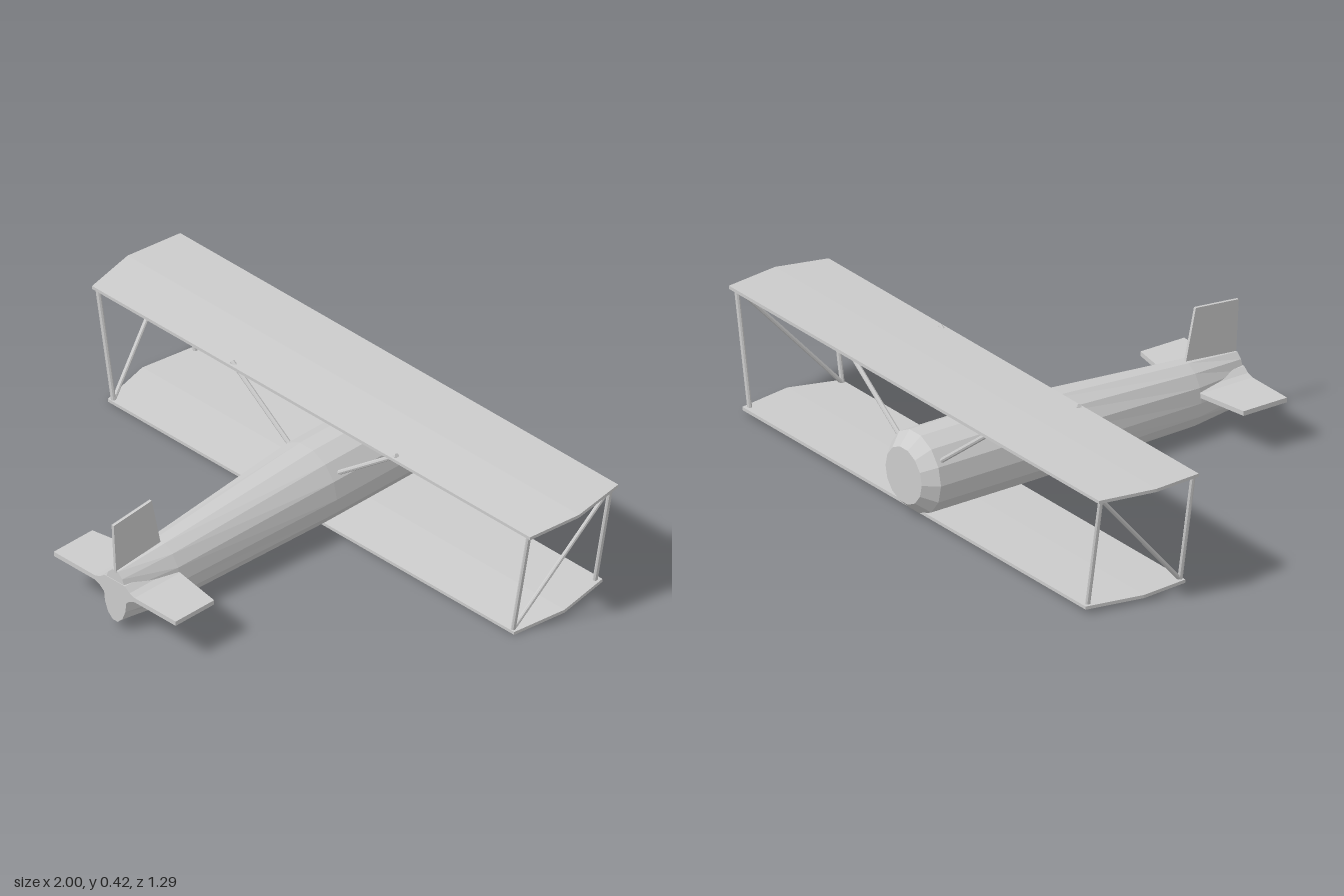
import * as THREE from 'three';

const material = new THREE.MeshStandardMaterial({ color: 0xcccccc, flatShading: true });

// Skin a row of equal-sized rings (counter-clockwise about the direction of travel), with end caps
function loft(name, rings) {
  const pos = [];
  const tri = (...pts) => pts.forEach((p) => pos.push(...p));
  const n = rings[0].length;
  for (let i = 0; i < rings.length - 1; i++) {
    for (let j = 0; j < n; j++) {
      const k = (j + 1) % n;
      const a = rings[i][j], b = rings[i][k], c = rings[i + 1][k], d = rings[i + 1][j];
      tri(a, b, c);
      tri(a, c, d);
    }
  }
  const first = rings[0], last = rings[rings.length - 1];
  for (let j = 1; j < n - 1; j++) {
    tri(first[0], first[j + 1], first[j]);
    tri(last[0], last[j], last[j + 1]);
  }
  const geo = new THREE.BufferGeometry();
  geo.setAttribute('position', new THREE.Float32BufferAttribute(pos, 3));
  geo.computeVertexNormals();
  const mesh = new THREE.Mesh(geo, material);
  mesh.name = name;
  return mesh;
}

// Thin rod between two points
function rod(name, from, to, radius = 0.008) {
  const a = new THREE.Vector3(...from), b = new THREE.Vector3(...to);
  const dir = b.clone().sub(a);
  const mesh = new THREE.Mesh(new THREE.CylinderGeometry(radius, radius, dir.length(), 8), material);
  mesh.position.copy(a).add(b).multiplyScalar(0.5);
  mesh.quaternion.setFromUnitVectors(new THREE.Vector3(0, 1, 0), dir.normalize());
  mesh.name = name;
  return mesh;
}

// Elliptical ring of the fuselage
function ellipse(z, halfWidth, bottom, top, sides = 14) {
  return Array.from({ length: sides }, (_, i) => {
    const t = (i / sides) * Math.PI * 2;
    return [halfWidth * Math.cos(t), (top + bottom) / 2 + ((top - bottom) / 2) * Math.sin(t) / Math.cos(Math.PI / 14), z];
  });
}

// Cambered wing: slabs of [z, half span, top height]
function wing(name, stations, thickness = 0.011) {
  return loft(name, stations.map(([z, w, y]) => [
    [-w, y - thickness, z], [w, y - thickness, z], [w, y, z], [-w, y, z],
  ]));
}

export function createModel() {
  const model = new THREE.Group();
  model.name = 'biplane';

  // Body, nose towards -z
  model.add(loft('fuselage', [
    ellipse(-0.645, 0.095, 0.052, 0.237),
    ellipse(-0.6, 0.135, 0.01, 0.28),
    ellipse(-0.2, 0.135, 0.01, 0.28),
    ellipse(0.44, 0.09, 0.01, 0.233),
    ellipse(0.635, 0.05, 0.027, 0.215),
  ]));

  // Wings
  model.add(wing('upperWing', [[-0.605, 0.97, 0.416], [-0.405, 1, 0.413], [-0.22, 0.97, 0.402]]));
  model.add(wing('lowerWing', [[-0.605, 0.9, 0.026], [-0.405, 0.935, 0.023], [-0.22, 0.9, 0.011]]));

  // Wing struts and bracing on each side
  for (const [side, s] of [['left', 1], ['right', -1]]) {
    const struts = new THREE.Group();
    struts.name = side + 'Struts';
    struts.add(
      rod('rearStrut', [s * 0.885, 0.008, -0.23], [s * 0.955, 0.398, -0.23]),
      rod('frontStrut', [s * 0.885, 0.02, -0.587], [s * 0.955, 0.41, -0.587]),
      rod('diagonalStrut', [s * 0.885, 0.012, -0.232], [s * 0.955, 0.408, -0.585], 0.007),
      rod('frontCabaneStrut', [s * 0.09, 0.205, -0.577], [s * 0.362, 0.408, -0.582]),
      rod('rearCabaneStrut', [s * 0.09, 0.205, -0.235], [s * 0.365, 0.407, -0.235]),
    );
    model.add(struts);
  }

  // Tailplane with thickened roots: [x, bottom, top, leading edge z]
  const half = [[0.27, 0.139, 0.155, 0.469], [0.088, 0.139, 0.155, 0.438], [0.066, 0.13, 0.162, 0.438], [0.045, 0.113, 0.178, 0.438]];
  const stations = [...half.map(([x, ...rest]) => [-x, ...rest]), ...half.slice().reverse()];
  model.add(loft('tailplane', stations.map(([x, lo, hi, z]) => [
    [x, lo, z], [x, hi, z], [x, hi, 0.637], [x, lo, 0.637],
  ])));

  // Upright fin
  const t = 0.005;
  const finRing = (z0, y0, z1, y1) => [[-t, y0, z0], [-t, y1, z1], [t, y1, z1], [t, y0, z0]];
  model.add(loft('fin', [finRing(0.435, 0.2, 0.634, 0.19), finRing(0.48, 0.406, 0.646, 0.39)]));

  return model;
}
